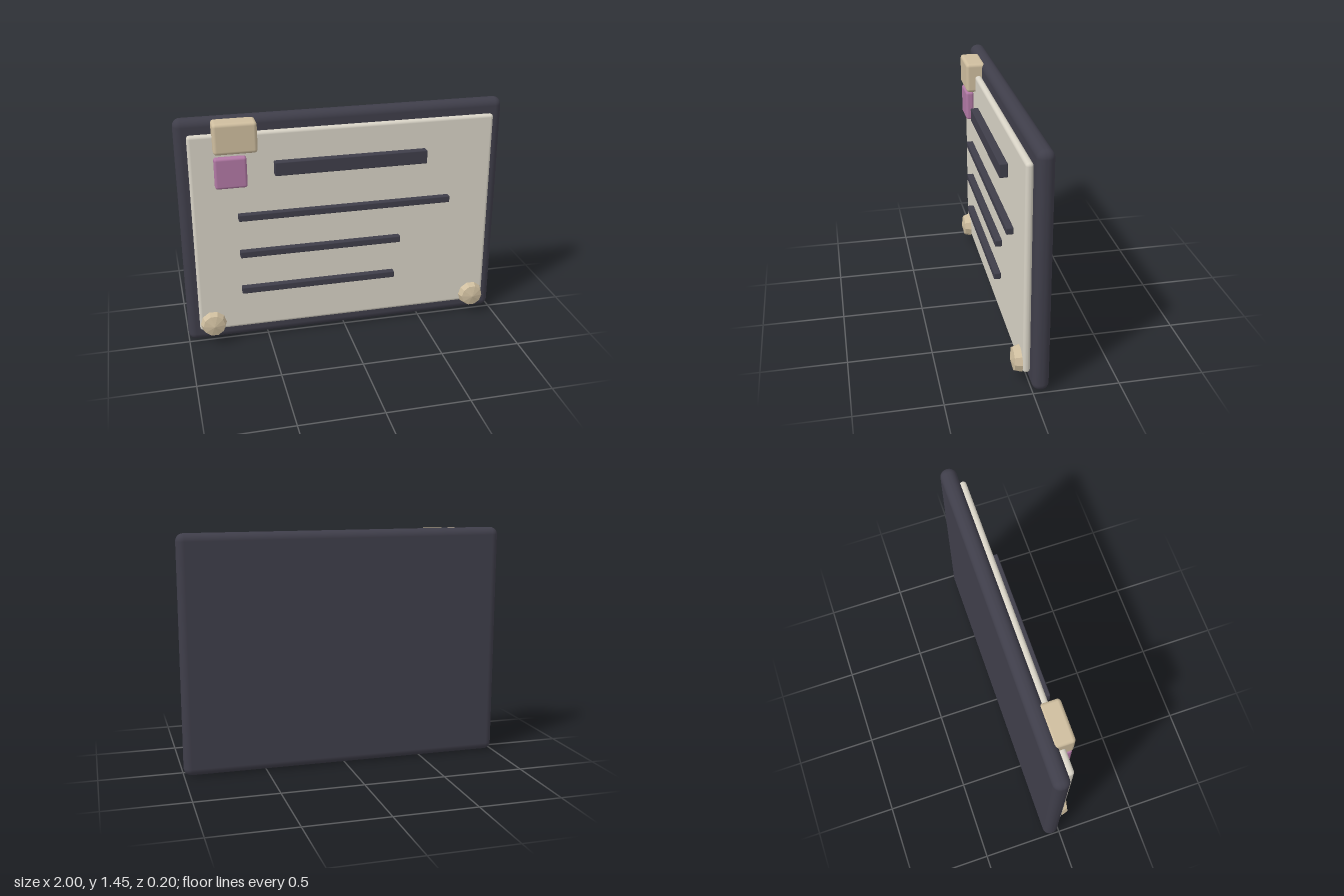
import * as THREE from 'three';
import { RoundedBoxGeometry } from 'three/addons/geometries/RoundedBoxGeometry.js';

function material(name, color) {
  const m = new THREE.MeshStandardMaterial({ color });
  m.name = name;
  return m;
}

export function createModel() {
  const model = new THREE.Group();
  model.name = 'noticeBoard';

  const slate = material('slate', 0x3f3e4a);
  const cream = material('cream', 0xd8d3c6);
  const tan = material('tan', 0xcfbe9f);
  const mauve = material('mauve', 0xb279a5);
  const tanFaceted = tan;

  // Rounded box given by its extents on each axis
  function slab(name, mat, [x0, x1], [y0, y1], [z0, z1], radius, segments) {
    const geo = new RoundedBoxGeometry(x1 - x0, y1 - y0, z1 - z0, segments, radius);
    const mesh = new THREE.Mesh(geo, mat);
    mesh.position.set((x0 + x1) / 2, (y0 + y1) / 2, (z0 + z1) / 2);
    mesh.name = name;
    model.add(mesh);
  }

  // Backing board and raised sheet
  slab('backBoard', slate, [-1, 1], [0, 1.45], [-0.098, 0], 0.046, 4);
  slab('sheet', cream, [-0.93, 0.93], [0.09, 1.365], [0, 0.043], 0.02, 3);

  // Corner clip and coloured tile
  slab('clip', tan, [-0.787, -0.53], [1.255, 1.443], [-0.025, 0.099], 0.021, 2);
  slab('tile', mauve, [-0.787, -0.597], [1.045, 1.235], [0.042, 0.092], 0.016, 2);

  // Heading and text bars
  slab('headingBar', slate, [-0.435, 0.497], [1.1, 1.185], [0.042, 0.092], 0.006, 1);
  [[0.655, 0.848], [0.342, 0.607], [0.307, 0.364]].forEach(([right, y], i) => {
    slab(`textBar${i + 1}`, slate, [-0.66, right], [y - 0.021, y + 0.021], [0.042, 0.085], 0.006, 1);
  });

  // Faceted domed studs in the lower corners
  const profile = [[0, 0], [0.081, 0], [0.068, 0.042], [0, 0.058]]
    .map(([r, h]) => new THREE.Vector2(r, h));
  const studGeo = new THREE.LatheGeometry(profile, 10, Math.PI / 2)
    .rotateX(Math.PI / 2)
    .toNonIndexed();
  studGeo.computeVertexNormals();
  for (const side of [1, -1]) {
    const stud = new THREE.Mesh(studGeo, tanFaceted);
    stud.name = side > 0 ? 'leftStud' : 'rightStud';
    stud.position.set(side * 0.845, 0.14, 0.042);
    model.add(stud);
  }

  return model;
}
